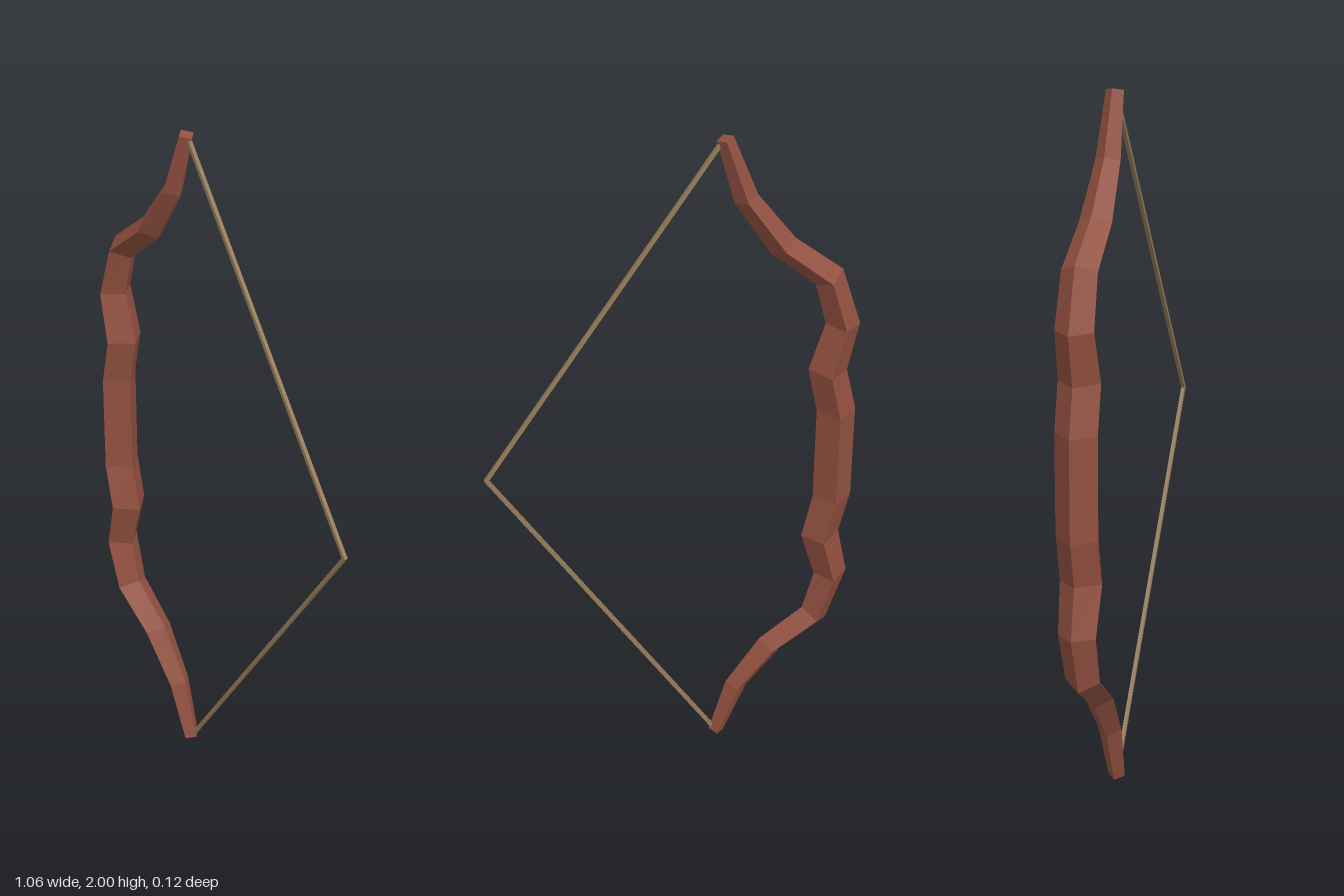
import * as THREE from 'three';

const wood = new THREE.MeshStandardMaterial({ color: 0x935140, flatShading: true });
wood.name = 'reddish wood';
const cord = new THREE.MeshStandardMaterial({ color: 0x967d5a, flatShading: true });
cord.name = 'tan cord';

// Upper half stations from grip to tip: outer x, outer y, inner x, inner y, half depth
const upper = [
  [-0.53, 1.145, -0.419, 1.145, 0.06],
  [-0.5, 1.275, -0.39, 1.283, 0.06],
  [-0.53, 1.42, -0.433, 1.425, 0.054],
  [-0.474, 1.592, -0.401, 1.548, 0.05],
  [-0.34, 1.695, -0.274, 1.652, 0.045],
  [-0.235, 1.83, -0.173, 1.808, 0.035],
  [-0.167, 2.0, -0.122, 1.988, 0.025],
];

// Diamond cross-sections lofted from the bottom tip to the top tip
function staveGeometry() {
  const lower = upper.map(([ox, oy, ix, iy, d]) => [ox, 2 - oy, ix, 2 - iy, d]).reverse();
  const stations = [...lower, ...upper];
  const pos = [];
  const index = [];
  stations.forEach(([ox, oy, ix, iy, d], s) => {
    const mx = (ox + ix) / 2;
    const my = (oy + iy) / 2;
    pos.push(ox, oy, 0, mx, my, d, ix, iy, 0, mx, my, -d);
    if (s === 0) return;
    for (let i = 0; i < 4; i++) {
      const a = (s - 1) * 4 + i;
      const b = (s - 1) * 4 + ((i + 1) % 4);
      index.push(a, b, b + 4, a, b + 4, a + 4);
    }
  });
  // Tip caps
  const t = (stations.length - 1) * 4;
  index.push(0, 2, 1, 0, 3, 2, t, t + 1, t + 2, t, t + 2, t + 3);
  const indexed = new THREE.BufferGeometry();
  indexed.setAttribute('position', new THREE.Float32BufferAttribute(pos, 3));
  indexed.setIndex(index);
  const geo = indexed.toNonIndexed();
  geo.computeVertexNormals();
  return geo;
}

// Drawn string: a bent flat band, square in section, pulled back at mid height
function stringGeometry() {
  const w = 0.0055;
  const shape = new THREE.Shape([
    [-0.137, 1.976], [-0.128, 1.982], [0.526, 1], [-0.128, 0.018],
    [-0.137, 0.024], [0.513, 1],
  ].map(([x, y]) => new THREE.Vector2(x, y)));
  const geo = new THREE.ExtrudeGeometry(shape, { depth: 2 * w, bevelEnabled: false });
  return geo.translate(0, 0, -w);
}

export function createModel() {
  const model = new THREE.Group();
  model.name = 'bow';

  const stave = new THREE.Mesh(staveGeometry(), wood);
  stave.name = 'stave';
  model.add(stave);

  const string = new THREE.Mesh(stringGeometry(), cord);
  string.name = 'string';
  model.add(string);
  return model;
}
